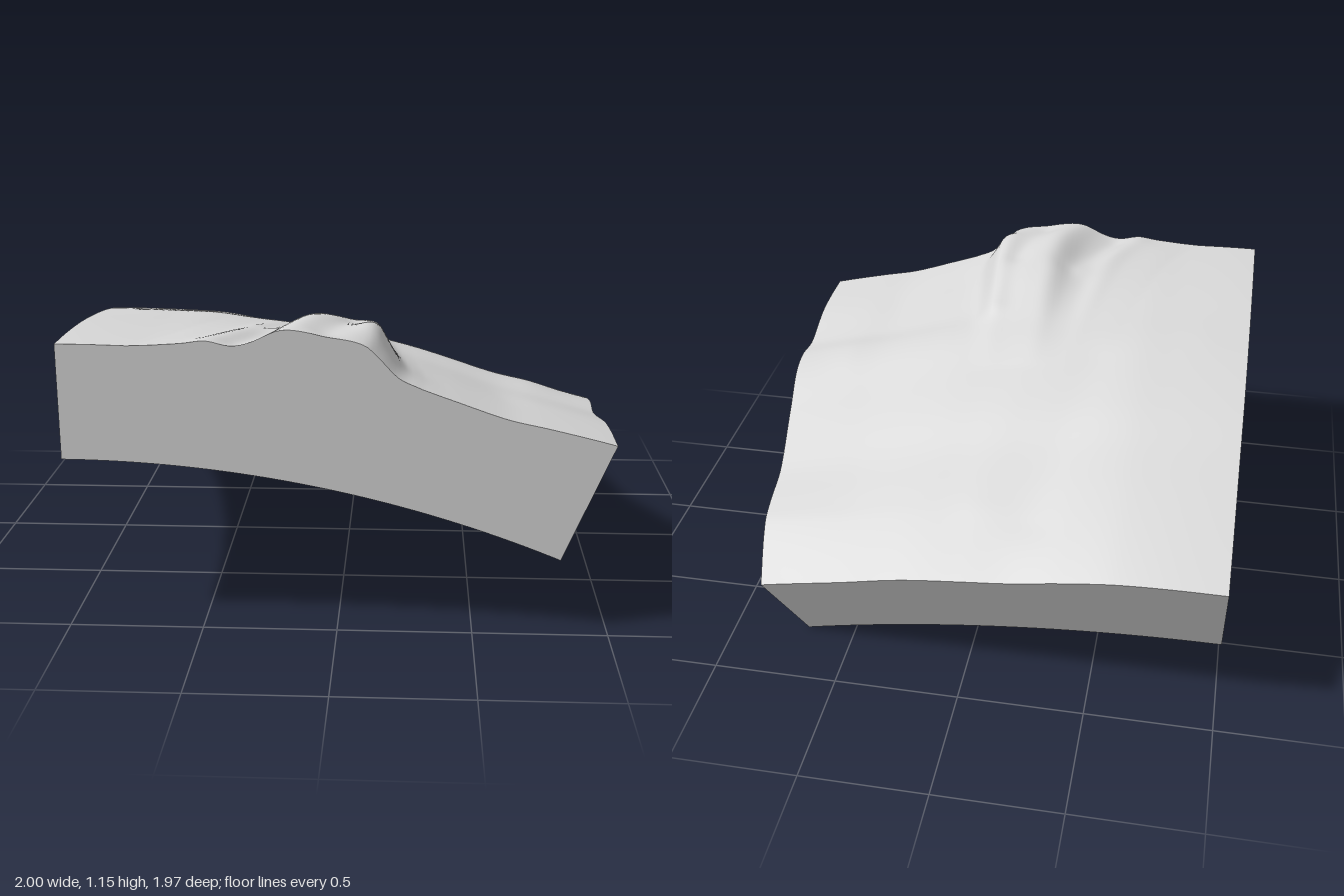
import * as THREE from 'three';

const TAN = Math.tan(Math.PI / 8); // the block spans 22.5 degrees each way
const CENTRE = new THREE.Vector3(-1, -4.095, 0.985);
const INNER = 4.745, OUTER = 5.17;
const N = 110;

// Smooth curve through [position, value] points
function curve(pts) {
  const slope = pts.map((p, i) => {
    const a = pts[Math.max(i - 1, 0)], b = pts[Math.min(i + 1, pts.length - 1)];
    return (b[1] - a[1]) / (b[0] - a[0]);
  });
  return (x) => {
    if (x <= pts[0][0]) return pts[0][1];
    if (x >= pts[pts.length - 1][0]) return pts[pts.length - 1][1];
    let i = 0;
    while (x > pts[i + 1][0]) i++;
    const h = pts[i + 1][0] - pts[i][0], t = (x - pts[i][0]) / h;
    const t2 = t * t, t3 = t2 * t;
    return pts[i][1] * (2 * t3 - 3 * t2 + 1) + slope[i] * h * (t3 - 2 * t2 + t)
      + pts[i + 1][1] * (3 * t2 - 2 * t3) + slope[i + 1] * h * (t3 - t2);
  };
}

// Relief along the four rims (u runs left to right, v runs front to back)
const frontRim = curve([[0, 0.005], [0.14, 0.009], [0.22, 0.019], [0.5, 0.029], [0.587, 0.027],
  [0.677, 0.013], [0.785, 0.004], [0.864, 0.02], [1, 0.053]]);
const backRim = curve([[0, -0.022], [0.2, -0.02], [0.31, -0.039], [0.42, -0.062], [0.52, -0.06],
  [0.65, -0.052], [0.8, -0.064], [1, -0.053]]);
const leftRim = curve([[0, 0.005], [0.2, 0.008], [0.3, 0.009], [0.467, 0.012], [0.568, 0.005],
  [0.674, -0.016], [0.78, -0.02], [1, -0.022]]);
const rightRim = curve([[0, 0.053], [0.143, 0.055], [0.27, 0.037], [0.335, 0.06], [0.397, 0.058],
  [0.505, 0.017], [0.674, -0.028], [0.785, -0.011], [0.843, -0.007], [1, -0.053]]);

// Mountain: cross-section, fade towards the back and sideways drift
const mountain = curve([[0.12, 0], [0.21, 0.013], [0.247, 0.023], [0.289, 0.022], [0.325, 0.045],
  [0.369, 0.098], [0.415, 0.108], [0.463, 0.107], [0.513, 0.097], [0.54, 0.065], [0.582, 0.012], [0.625, 0]]);
const fade = curve([[0, 1], [0.07, 1.26], [0.14, 1.2], [0.2, 0.98], [0.27, 0.62], [0.34, 0.28], [0.46, 0]]);
const drift = curve([[0, 0], [0.08, 0.012], [0.2, 0.004], [0.4, -0.01]]);

// Small ridges and gullies: u1, v1, u2, v2, width, height
const folds = [
  [0.445, 0.03, 0.49, 0.14, 0.028, -0.02],
  [0.52, 0.07, 0.53, 0.28, 0.026, 0.016],
  [0.25, 0.02, 0.35, 0.15, 0.03, 0.01],
  [0.3, 0.03, 0.385, 0.15, 0.028, -0.012],
  [0.58, 0.36, 0.85, 0.36, 0.07, 0.016],
  [0.66, 0.12, 0.78, 0.16, 0.07, -0.008],
  [0.3, 0.45, 0.38, 0.85, 0.05, -0.007],
  [0.42, 0.4, 0.5, 0.8, 0.06, 0.006],
  [0.1, 0.36, 0.4, 0.4, 0.06, 0.005],
];

function fold(u, v, [u1, v1, u2, v2, width, height]) {
  const du = u2 - u1, dv = v2 - v1;
  const t = THREE.MathUtils.clamp(((u - u1) * du + (v - v1) * dv) / (du * du + dv * dv), 0, 1);
  const d = Math.hypot(u - u1 - t * du, v - v1 - t * dv) / width;
  return height * Math.exp(-d * d);
}

function relief(u, v) {
  // Blend the rims, keeping the right rim's waves near that side
  const s = u ** 3;
  const corners = (1 - s) * ((1 - v) * 0.005 + v * -0.022) + s * ((1 - v) * 0.053 + v * -0.053);
  let h = (1 - v) * frontRim(u) + v * backRim(u) + (1 - s) * leftRim(v) + s * rightRim(v) - corners;
  h += fade(v) * mountain(0.56 + (u - 0.56 - drift(v)) * (1 + 1.3 * v));
  for (const f of folds) h += fold(u, v, f);
  return h;
}

// Point in the block: t = 0 on the inner shell, t = 1 on the terrain
function point(u, v, t) {
  const radius = t === 0 ? INNER : INNER + t * (OUTER + relief(u, v) - INNER);
  return new THREE.Vector3(u * TAN, 1, -v * TAN).normalize().multiplyScalar(radius).add(CENTRE);
}

function face(name, material, rows, place) {
  const geometry = new THREE.PlaneGeometry(1, 1, N, rows);
  const pos = geometry.attributes.position;
  for (let i = 0; i < pos.count; i++) {
    const p = point(...place(pos.getX(i) + 0.5, pos.getY(i) + 0.5));
    pos.setXYZ(i, p.x, p.y, p.z);
  }
  geometry.computeVertexNormals();
  const mesh = new THREE.Mesh(geometry, material);
  mesh.name = name;
  return mesh;
}

export function createModel() {
  const stone = new THREE.MeshStandardMaterial({ color: 0xd8d8d8 });
  stone.name = 'pale grey stone';
  const model = new THREE.Group();
  model.name = 'curvedTerrainBlock';
  model.add(
    face('terrain', stone, N, (s, t) => [s, t, 1]),
    face('innerShell', stone, N, (s, t) => [1 - s, t, 0]),
    face('frontWall', stone, 1, (s, t) => [s, 0, t]),
    face('backWall', stone, 1, (s, t) => [1 - s, 1, t]),
    face('rightWall', stone, 1, (s, t) => [0, 1 - s, t]),
    face('leftWall', stone, 1, (s, t) => [1, s, t]),
  );
  return model;
}
